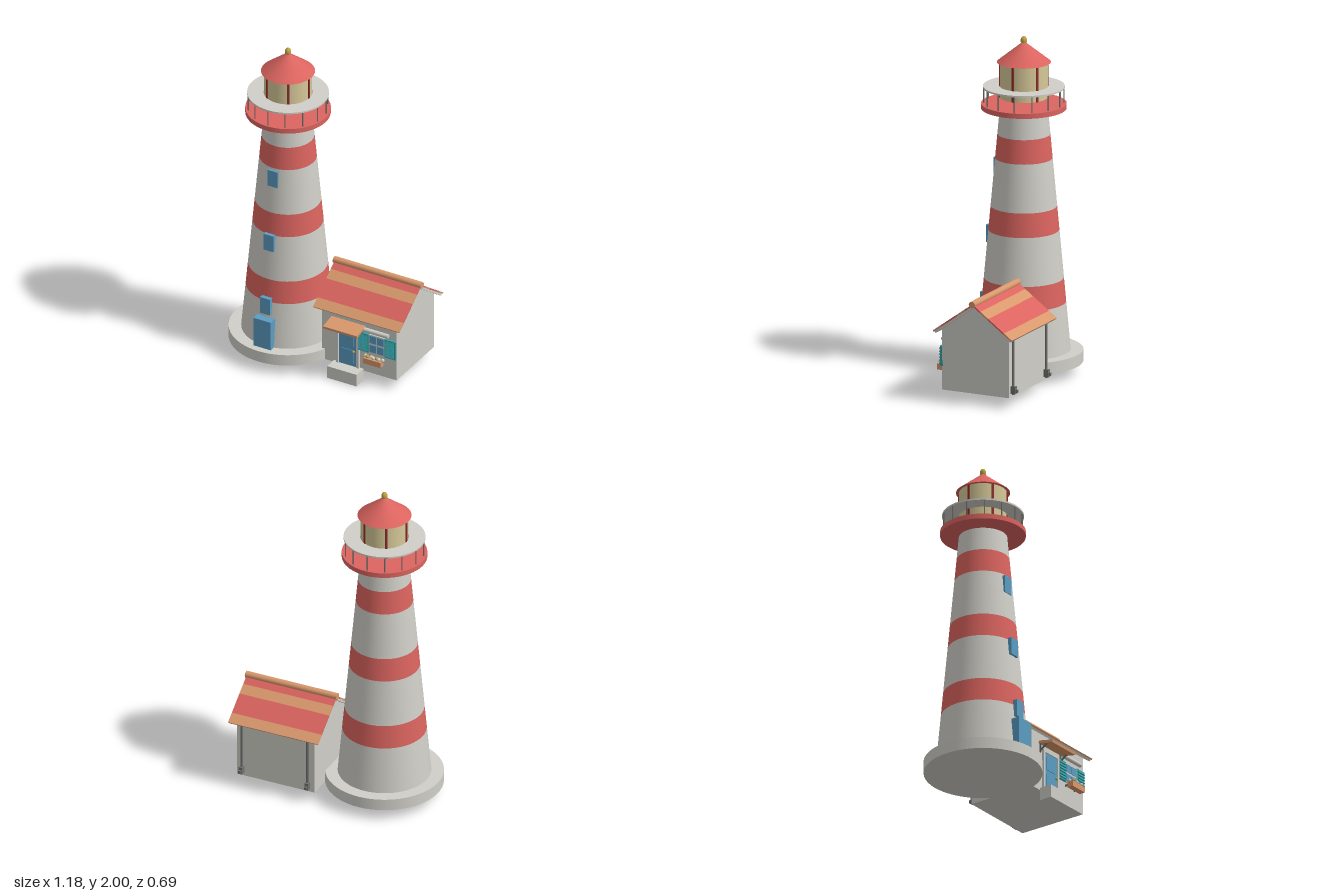
import * as THREE from 'three';

const mat = (name, color, side = THREE.FrontSide) => {
  const m = new THREE.MeshStandardMaterial({ color, side });
  m.name = name;
  return m;
};
const M = {
  stone: mat('pale stone', 0xd0cfc8),
  red: mat('red paint', 0xdb645f),
  darkRed: mat('dark red', 0x8c2f2c),
  orange: mat('terracotta', 0xd9986c),
  blue: mat('blue paint', 0x5a9dc2),
  teal: mat('teal shutter', 0x36a3a8),
  glass: mat('warm glass', 0xd6c898),
  gold: mat('gold', 0xbfa549),
  metal: mat('grey metal', 0x70716f),
};

function add(parent, name, geo, material, x = 0, y = 0, z = 0) {
  const m = new THREE.Mesh(geo, material);
  m.name = name;
  m.position.set(x, y, z);
  parent.add(m);
  return m;
}
// Box given by its limits on each axis
function box(parent, name, material, [x0, x1], [y0, y1], [z0, z1]) {
  return add(parent, name, new THREE.BoxGeometry(x1 - x0, y1 - y0, z1 - z0), material,
    (x0 + x1) / 2, (y0 + y1) / 2, (z0 + z1) / 2);
}
// Upright cylinder given by its bottom and top heights
function drum(parent, name, material, r0, r1, y0, y1, x = 0, z = 0, sides = 64) {
  return add(parent, name, new THREE.CylinderGeometry(r1, r0, y1 - y0, sides), material,
    x, (y0 + y1) / 2, z);
}
function rodX(parent, name, material, r, x0, x1, y, z) {
  const m = add(parent, name, new THREE.CylinderGeometry(r, r, x1 - x0, 20), material, (x0 + x1) / 2, y, z);
  m.rotation.z = Math.PI / 2;
  return m;
}

function makeTower() {
  const g = new THREE.Group();
  g.name = 'tower';
  g.position.x = -0.25;
  drum(g, 'foundation', M.stone, 0.343, 0.343, 0.065, 0.135);

  // Ten tapered courses, every third one red
  const n = 10, y0 = 0.135, h = 0.1425;
  const radius = (i) => 0.27 - 0.013 * i;
  for (let i = 0; i < n; i++) {
    drum(g, 'towerBand', i % 3 === 2 ? M.red : M.stone, radius(i), radius(i + 1), y0 + h * i, y0 + h * (i + 1));
  }

  // Door and windows up the front
  box(g, 'towerDoor', M.blue, [-0.058, 0.058], [0.135, 0.32], [0.2, 0.3]);
  for (const [y, z] of [[0.345, 0.267], [0.75, 0.227], [1.157, 0.181]]) {
    box(g, 'towerWindow', M.blue, [-0.033, 0.033], [y, y + 0.105], [z - 0.07, z]);
  }

  // Gallery with posts and a broad flat rail
  drum(g, 'galleryDeck', M.red, 0.247, 0.247, 1.57, 1.6);
  const ring = new THREE.Shape().absarc(0, 0, 0.236, 0, Math.PI * 2);
  ring.holes.push(new THREE.Path().absarc(0, 0, 0.141, 0, Math.PI * 2, true));
  const rail = add(g, 'galleryRail', new THREE.ExtrudeGeometry(ring, { depth: 0.01, bevelEnabled: false, curveSegments: 64 }),
    M.stone, 0, 1.703, 0);
  rail.rotation.x = Math.PI / 2;
  for (let i = 0; i < 14; i++) {
    const a = (i / 14) * Math.PI * 2;
    drum(g, 'railPost', M.metal, 0.004, 0.004, 1.6, 1.695, 0.231 * Math.sin(a), 0.231 * Math.cos(a), 8);
  }

  // Lantern room
  drum(g, 'lanternGlass', M.glass, 0.138, 0.138, 1.635, 1.845);
  for (let i = 0; i < 6; i++) {
    const a = (i / 6) * Math.PI * 2;
    const bar = box(g, 'lanternBar', M.darkRed, [-0.007, 0.007], [1.635, 1.845], [-0.007, 0.007]);
    bar.position.x = 0.136 * Math.cos(a);
    bar.position.z = 0.136 * Math.sin(a);
    bar.rotation.y = -a;
  }
  drum(g, 'lanternRoof', M.red, 0.156, 0.012, 1.845, 1.96);
  const knob = [[0, 0], [0.012, 0], [0.012, 0.008], [0.018, 0.012], [0.018, 0.032], [0.011, 0.044], [0, 0.05]];
  add(g, 'finial', new THREE.LatheGeometry(knob.map(([x, y]) => new THREE.Vector2(x, y)), 24), M.gold, 0, 1.95, 0);
  return g;
}

function makeRoof() {
  const g = new THREE.Group();
  g.name = 'cottageRoof';
  g.position.set(0.298, 0.605, -0.09);
  const slope = 0.627, length = 0.315, rows = 5, step = length / rows;
  for (const turn of [0, Math.PI]) {
    const half = new THREE.Group();
    half.name = 'roofSide';
    half.rotation.y = turn;
    const slab = new THREE.Group();
    slab.name = 'roofSlope';
    slab.rotation.x = slope;
    box(slab, 'roofBoard', M.stone, [-0.28, 0.28], [-0.02, -0.006], [0, length - 0.004]);
    for (let i = 0; i < rows; i++) {
      const m = i === 1 || i === 4 ? M.orange : M.red;
      box(slab, 'roofTileRow', m, [-0.286, 0.286], [-0.007, 0.002], [i * step, (i + 1) * step]);
    }
    half.add(slab);
    g.add(half);
  }
  rodX(g, 'ridgeCap', M.orange, 0.02, -0.292, 0.292, 0, 0);
  return g;
}

function makeFrontDoor(g) {
  box(g, 'doorStep', M.stone, [0.13, 0.325], [0, 0.078], [0.127, 0.207]);
  box(g, 'doorLeaf', M.blue, [0.165, 0.285], [0.078, 0.315], [0.12, 0.134]);
  for (const y of [0.1, 0.21]) box(g, 'doorPanel', M.blue, [0.185, 0.265], [y, y + 0.085], [0.13, 0.138]);
  for (const x of [0.15, 0.285]) box(g, 'doorJamb', M.stone, [x, x + 0.015], [0.078, 0.33], [0.12, 0.142]);
  box(g, 'doorLintel', M.stone, [0.15, 0.3], [0.315, 0.33], [0.12, 0.142]);
  add(g, 'doorKnob', new THREE.SphereGeometry(0.008, 16, 12), M.gold, 0.268, 0.182, 0.143);

  // Sloping canopy on two brackets
  const canopy = add(g, 'doorCanopy', new THREE.BoxGeometry(0.224, 0.016, 0.1), M.orange, 0.227, 0.355, 0.178);
  canopy.rotation.x = 0.2;
  for (const x of [0.13, 0.322]) {
    box(g, 'bracketPost', M.metal, [x - 0.004, x + 0.004], [0.305, 0.36], [0.125, 0.136]);
    const strut = add(g, 'bracketStrut', new THREE.BoxGeometry(0.008, 0.008, 0.06), M.metal, x, 0.332, 0.152);
    strut.rotation.x = -0.65;
  }
}

function makeFrontWindow(g) {
  box(g, 'windowFrame', M.stone, [0.365, 0.472], [0.205, 0.325], [0.12, 0.134]);
  for (const x of [0.372, 0.422]) {
    for (const y of [0.211, 0.271]) box(g, 'windowPane', M.blue, [x, x + 0.043], [y, y + 0.048], [0.13, 0.137]);
  }
  for (const x of [0.293, 0.472]) {
    box(g, 'shutter', M.teal, [x, x + 0.073], [0.205, 0.325], [0.12, 0.14]);
    for (let i = 0; i < 6; i++) {
      const slat = add(g, 'shutterSlat', new THREE.BoxGeometry(0.058, 0.014, 0.007), M.teal, x + 0.0365, 0.22 + i * 0.018, 0.142);
      slat.rotation.x = -0.4;
    }
  }
  // Rolled blind above the window
  rodX(g, 'rolledBlind', M.stone, 0.013, 0.34, 0.5, 0.355, 0.142);

  // Flower box
  box(g, 'flowerBox', M.orange, [0.36, 0.476], [0.16, 0.195], [0.155, 0.192]);
  for (const x of [0.375, 0.461]) box(g, 'flowerBoxBracket', M.metal, [x - 0.004, x + 0.004], [0.178, 0.188], [0.12, 0.157]);
  for (let i = 0; i < 7; i++) {
    add(g, 'flower', new THREE.SphereGeometry(0.011, 14, 10), i % 3 === 1 ? M.gold : M.stone,
      0.362 + i * 0.019, 0.2 + (i % 2) * 0.006, 0.168 + (i % 2) * 0.012);
  }
}

function makeCottage() {
  const g = new THREE.Group();
  g.name = 'cottage';

  // Gabled walls extruded along x
  const gable = new THREE.Shape([[-0.216, 0.065], [0.216, 0.065], [0.216, 0.425], [0, 0.58], [-0.216, 0.425]]
    .map(([z, y]) => new THREE.Vector2(z, y)));
  const walls = add(g, 'cottageWalls', new THREE.ExtrudeGeometry(gable, { depth: 0.495, bevelEnabled: false }),
    M.stone, 0.05, 0, -0.09);
  walls.rotation.y = Math.PI / 2;

  g.add(makeRoof());
  makeFrontDoor(g);
  makeFrontWindow(g);

  // Rear downpipes with clamps and feet
  for (const x of [0.09, 0.51]) {
    drum(g, 'downpipe', M.metal, 0.008, 0.008, 0.08, 0.425, x, -0.317, 14);
    box(g, 'pipeFoot', M.metal, [x - 0.011, x + 0.011], [0.085, 0.13], [-0.335, -0.305]);
    box(g, 'pipeOutlet', M.metal, [x - 0.008, x + 0.008], [0.095, 0.112], [-0.348, -0.32]);
  }
  return g;
}

export function createModel() {
  const model = new THREE.Group();
  model.name = 'lighthouse';
  model.add(makeTower(), makeCottage());
  return model;
}
